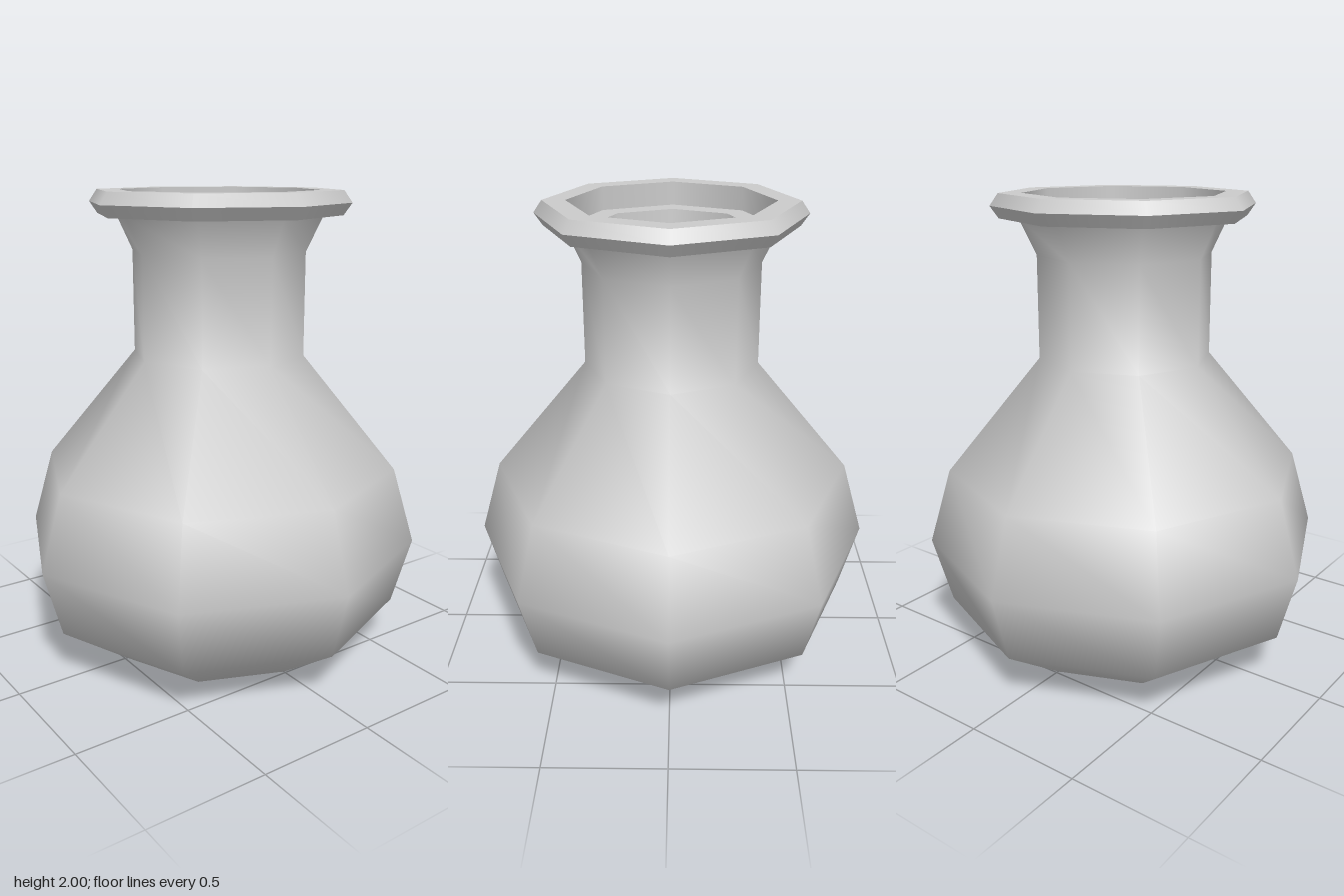
import * as THREE from 'three';
import { mergeGeometries } from 'three/addons/utils/BufferGeometryUtils.js';

const SIDES = 8;
const material = new THREE.MeshStandardMaterial({ color: 0xcccccc });

// Eight-sided revolve of [radius, height] points, smooth along the profile
function revolve(profile) {
  return new THREE.LatheGeometry(profile.map(([r, y]) => new THREE.Vector2(r, y)), SIDES);
}

// Same revolve with a hard edge at every profile point
function revolveCreased(profile) {
  return mergeGeometries(profile.slice(1).map((p, i) => revolve([profile[i], p])));
}

export function createModel() {
  const group = new THREE.Group();
  group.name = 'flask';
  const add = (name, geometry) => {
    const mesh = new THREE.Mesh(geometry, material);
    mesh.name = name;
    group.add(mesh);
  };

  // Flat underside
  add('base', revolve([[0, 0], [0.49, 0]]));

  // Round belly, shoulder, neck and flare
  add('body', revolve([
    [0.49, 0], [0.79, 0.21], [0.87, 0.5], [0.775, 0.825],
    [0.37, 1.315], [0.37, 1.75], [0.44, 1.9],
  ]));

  // Bevelled lip with its inner step
  add('lip', revolveCreased([
    [0.44, 1.9], [0.52, 1.9], [0.555, 1.95], [0.52, 2],
    [0.425, 2], [0.425, 1.9], [0.33, 1.9],
  ]));

  // Tapered inside of the neck and its floor
  add('neckInside', revolveCreased([[0.33, 1.9], [0.28, 1.3], [0, 1.3]]));

  return group;
}
